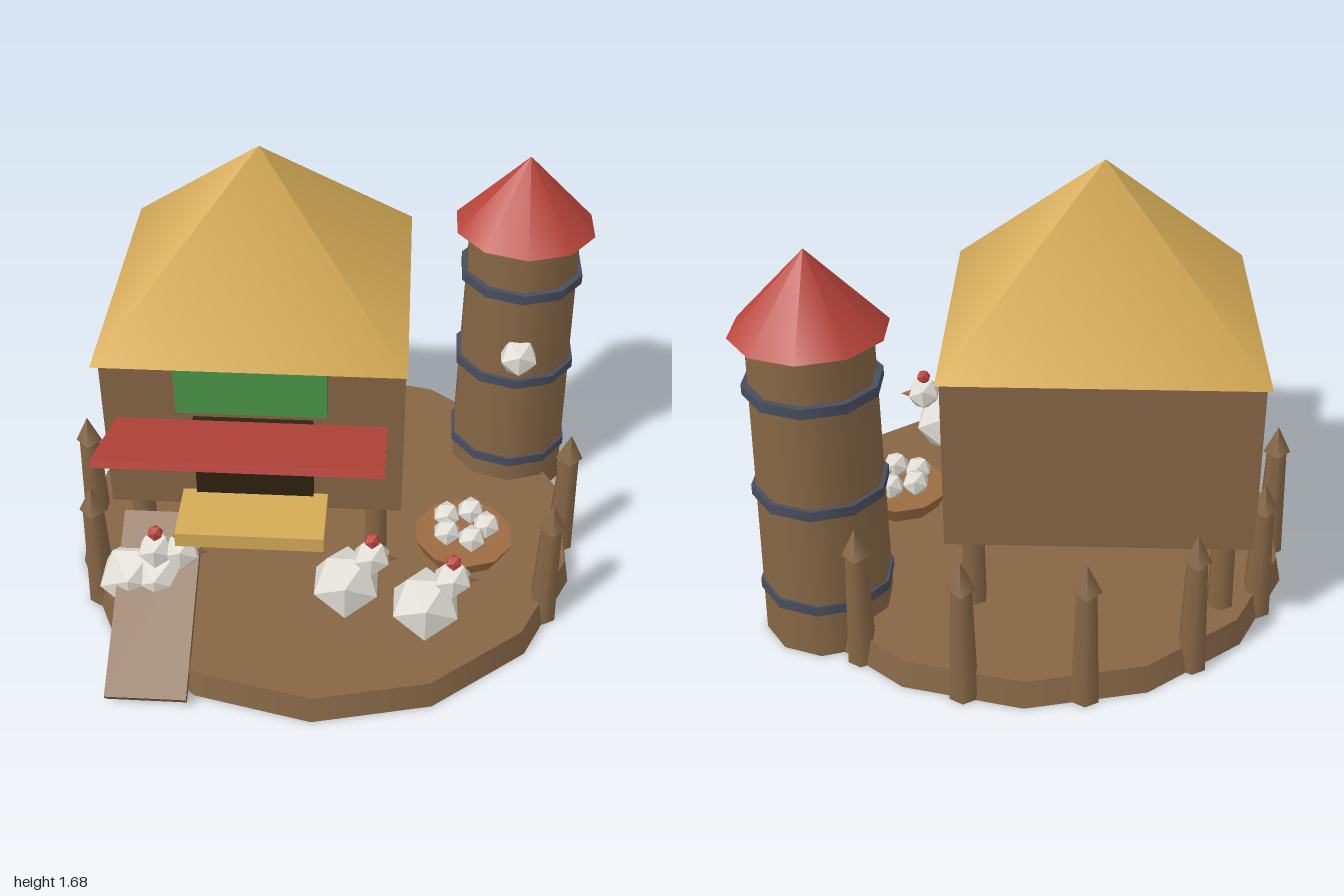
import * as THREE from 'three';

const mat = (name, color) => {
  const m = new THREE.MeshStandardMaterial({ color });
  m.name = name;
  return m;
};

export function createModel() {
  const wood = mat('wood', 0x866645);
  const straw = mat('straw', 0xd4aa56);
  const red = mat('red', 0xb8443a);
  const green = mat('green', 0x4a9648);
  const dark = mat('doorway', 0x2e2210);
  const iron = mat('iron', 0x484e5e);
  const white = mat('white', 0xdedbd3);
  const nestBrown = mat('nestBrown', 0x9c6c42);

  const root = new THREE.Group();
  root.name = 'farmyard';
  const add = (name, geo, material, x, y, z, parent = root) => {
    const m = new THREE.Mesh(geo, material);
    m.name = name;
    m.position.set(x, y, z);
    parent.add(m);
    return m;
  };
  const group = (name, x = 0, y = 0, z = 0) => {
    const g = new THREE.Group();
    g.name = name;
    g.position.set(x, y, z);
    root.add(g);
    return g;
  };
  const box = (w, h, d) => new THREE.BoxGeometry(w, h, d);
  const cyl = (rt, rb, h, n) => new THREE.CylinderGeometry(rt, rb, h, n);
  const ball = (r) => new THREE.IcosahedronGeometry(r, 0);

  // Ground disc
  add('ground', cyl(0.965, 0.985, 0.1, 14), wood, 0, 0.05, 0);

  // Raised house on four legs
  const house = group('house', -0.25, 0, -0.15);
  add('walls', box(1.09, 0.69, 0.9), wood, 0, 0.75, 0, house);
  const roofGeo = new THREE.ConeGeometry(0.55 * Math.SQRT2, 0.585, 4);
  roofGeo.rotateY(Math.PI / 4);
  add('roof', roofGeo, straw, 0, 1.3875, 0, house);
  for (const sx of [-1, 1]) for (const sz of [-1, 1])
    add('leg', cyl(0.045, 0.05, 0.32, 6), wood, sx * 0.45, 0.25, sz * 0.35, house);
  add('door', box(0.435, 0.415, 0.05), dark, 0, 0.613, 0.45, house);
  add('sign', box(0.54, 0.195, 0.05), green, 0, 0.972, 0.477, house);
  add('ledge', box(0.54, 0.06, 0.25), straw, 0, 0.451, 0.583, house);
  const awning = add('awning', box(0.975, 0.03, 0.45), red, -0.003, 0.888, 0.695, house);
  awning.rotation.x = -0.35;

  // Ramp board
  const ramp = add('ramp', box(0.295, 0.036, 0.7), wood, -0.595, 0.205, 0.64);
  ramp.rotation.x = 0.52;

  // Round tower with hoops and a pointed roof
  const tower = group('tower', 0.735, 0, -0.495);
  add('towerWall', cyl(0.218, 0.238, 1.2, 10), wood, 0, 0.6, 0, tower);
  add('towerRoof', new THREE.ConeGeometry(0.275, 0.29, 10), red, 0, 1.342, 0, tower);
  for (const y of [0.2, 0.6, 1.0])
    add('hoop', cyl(0.244, 0.244, 0.038, 10), iron, 0, y, 0, tower);
  add('towerWindow', ball(0.08), white, 0, 0.725, 0.225, tower);

  // Pointed fence posts around the sides and back, open at the front and tower
  for (let i = 0; i < 14; i++) {
    const a = (i / 14) * Math.PI * 2;
    const x = Math.cos(a) * 0.94, z = Math.sin(a) * 0.94;
    if (z > 0.5 || i === 13) continue;
    const post = group('fencePost', x, 0, z);
    add('stake', cyl(0.04, 0.055, 0.45, 6), wood, 0, 0.225, 0, post);
    add('stakeTip', new THREE.ConeGeometry(0.052, 0.11, 4), wood, 0, 0.5, 0, post);
  }

  // Nest with five eggs
  const nest = group('nest', 0.545, 0, 0.145);
  add('nestBowl', cyl(0.195, 0.165, 0.065, 10), nestBrown, 0, 0.1325, 0, nest);
  for (let i = 0; i < 5; i++) {
    const a = (i / 5) * Math.PI * 2;
    add('egg', ball(0.056), white, Math.cos(a) * 0.085, 0.213, Math.sin(a) * 0.085, nest);
  }

  // Hens facing the model's left
  const beakGeo = new THREE.ConeGeometry(0.025, 0.06, 4);
  beakGeo.rotateZ(-Math.PI / 2);
  for (const [x, z] of [[0.1, 0.495], [0.395, 0.59], [-0.695, 0.5], [-0.6, 0.5]]) {
    const hen = group('hen', x, 0, z);
    add('henBody', ball(0.137), white, 0, 0.215, 0, hen);
    add('henHead', ball(0.073), white, 0.093, 0.348, 0, hen);
    add('comb', ball(0.031), red, 0.093, 0.427, 0, hen);
    add('beak', beakGeo, nestBrown, 0.163, 0.345, 0, hen);
  }

  return root;
}
